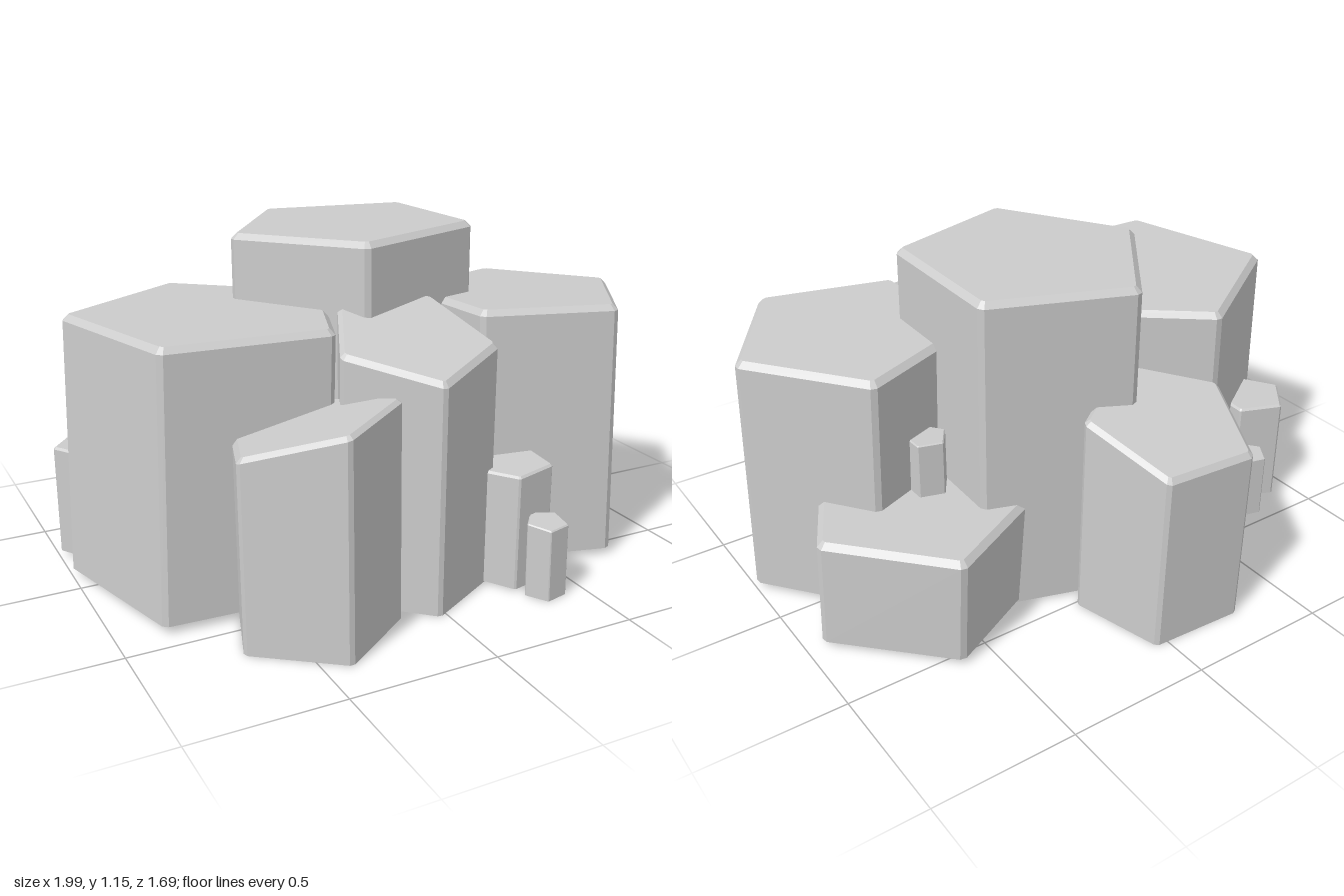
import * as THREE from 'three';

// name, top centre x z, radius, angle of one corner (deg), base y, top y,
// top slope along x and z, base shift in x and z
const COLUMNS = [
  ['centreColumn', 0.05, -0.10, 0.44, 180, 0.01, 1.14, 0.02, 0.02, 0.005, 0.0],
  ['leftmostColumn', -0.52, 0.03, 0.48, 200.7, 0.025, 0.91, -0.01, 0.01, -0.03, 0.02],
  ['frontSideColumn', 0.585, 0.19, 0.405, -3, 0.025, 0.90, -0.015, 0.025, 0.01, 0.025],
  ['backSideColumn', 0.54, -0.17, 0.405, -8.5, 0.02, 0.415, 0, 0.03, 0.005, 0.015],
  ['rearColumn', -0.145, -0.61, 0.285, 21, 0, 0.695, 0, 0.28, 0.01, 0],
  ['frontOuterColumn', -0.41, 0.56, 0.285, 91, 0, 0.67, 0.2, 0.2, 0.005, 0.005],
  ['frontInnerColumn', 0.01, 0.43, 0.285, 97, 0, 0.865, 0.01, -0.3, 0, 0],
  ['smallFrontColumn', 0.34, 0.55, 0.135, 113, 0.005, 0.41, 0.05, 0, 0, 0],
  ['tinyFrontColumn', 0.37, 0.715, 0.072, 113, 0, 0.255, 0, -0.1, 0, 0.005],
  ['smallRearColumn', -0.855, -0.27, 0.14, 183, 0.02, 0.41, 0, 0, 0, 0],
  ['tinyRearColumn', -0.73, -0.41, 0.072, 176, 0.02, 0.26, 0, 0, 0, 0],
  ['slimGapColumn', 0.485, -0.14, 0.074, -110, 0.02, 0.61, 0, 0, 0, 0],
];

// Pentagon with its corners cut off: ten [x, z] points
function chamferedPentagon(radius, angle, cut) {
  const corner = (i) => {
    const a = THREE.MathUtils.degToRad(angle + i * 72);
    return new THREE.Vector2(Math.cos(a) * radius, Math.sin(a) * radius);
  };
  const side = 2 * radius * Math.sin(Math.PI / 5);
  const points = [];
  for (let i = 0; i < 5; i++) {
    const c = corner(i);
    points.push(c.clone().lerp(corner(i - 1), cut / side), c.clone().lerp(corner(i + 1), cut / side));
  }
  return points;
}

// Open-bottomed column with bevelled edges and a sloping top
function columnGeometry([, x, z, r, angle, y0, y1, sx, sz, dx, dz]) {
  const bevel = Math.min(0.02, r * 0.055);
  const outer = chamferedPentagon(r, angle, bevel * 0.7);
  const inner = chamferedPentagon(r - bevel * 1.2, angle, bevel * 0.4);
  const topY = (p) => y1 + p.x * sx + p.y * sz;
  const rings = [
    outer.map((p) => [x + dx + p.x, y0, z + dz + p.y]),
    outer.map((p) => [x + p.x, topY(p) - bevel, z + p.y]),
    inner.map((p) => [x + p.x, topY(p), z + p.y]),
  ];
  const pos = [];
  const tri = (a, b, c) => pos.push(...a, ...b, ...c);
  const n = outer.length;
  for (let i = 0; i < n; i++) {
    const j = (i + 1) % n;
    for (let k = 0; k < 2; k++) {
      const [lo, hi] = [rings[k], rings[k + 1]];
      tri(lo[j], lo[i], hi[i]);
      tri(lo[j], hi[i], hi[j]);
    }
    tri([x, y1, z], rings[2][j], rings[2][i]);
  }
  const geometry = new THREE.BufferGeometry();
  geometry.setAttribute('position', new THREE.Float32BufferAttribute(pos, 3));
  geometry.computeVertexNormals();
  return geometry;
}

export function createModel() {
  const group = new THREE.Group();
  group.name = 'columnCluster';
  const stone = new THREE.MeshStandardMaterial({ color: 0xcccccc, flatShading: true, side: THREE.DoubleSide });
  for (const column of COLUMNS) {
    const mesh = new THREE.Mesh(columnGeometry(column), stone);
    mesh.name = column[0];
    group.add(mesh);
  }
  return group;
}
